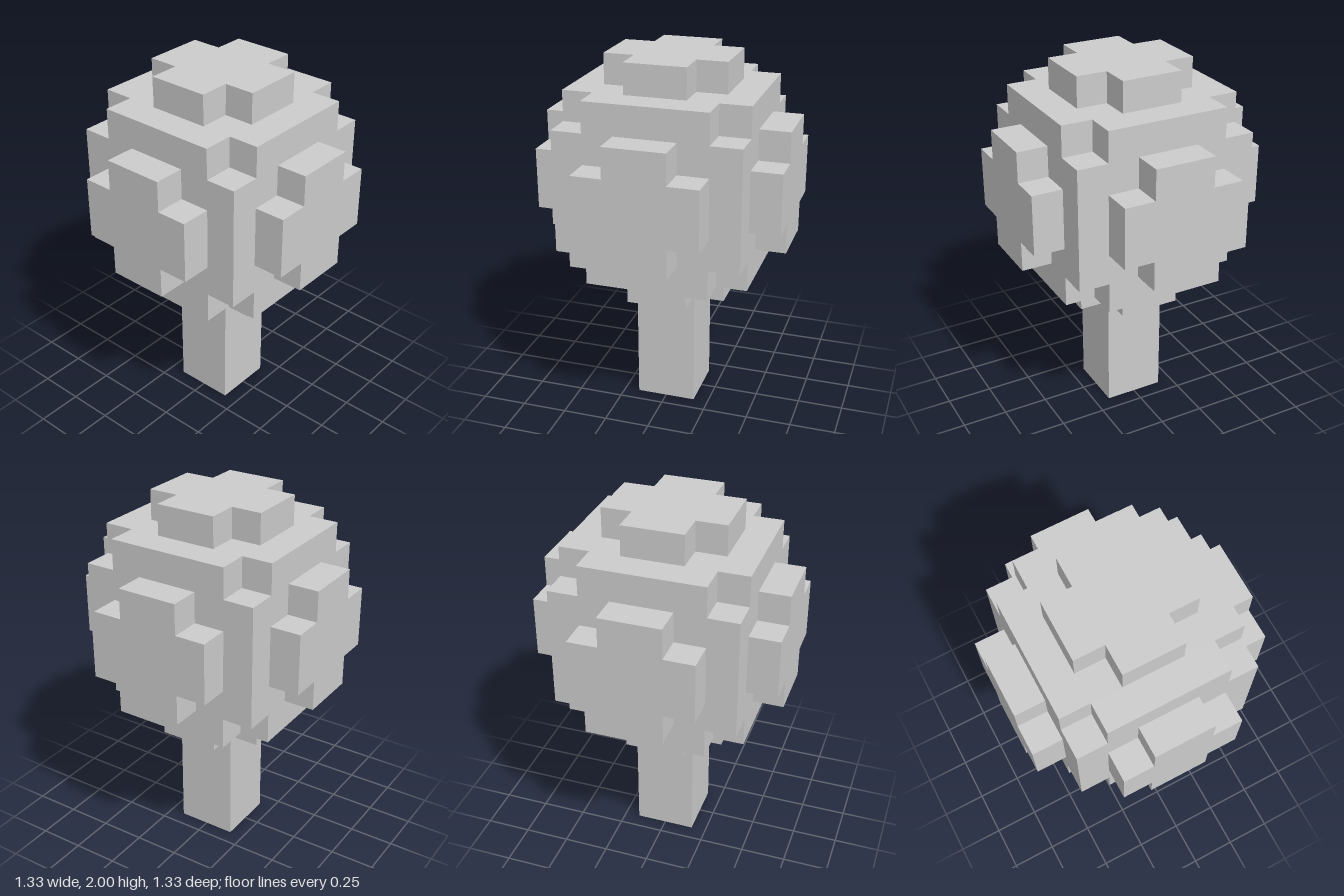
import * as THREE from 'three';

const U = 1 / 6;        // one block
const CROWN_Y = 8 * U;  // crown centre height

const material = new THREE.MeshStandardMaterial({ color: 0xcccccc, flatShading: true });

// Square slab with one block cut from each corner; half and start are in blocks.
function notchedSlab(half, start) {
  const a = half * U, b = (half - 1) * U;
  const outline = [
    [a, -b], [a, b], [b, b], [b, a], [-b, a], [-b, b],
    [-a, b], [-a, -b], [-b, -b], [-b, -a], [b, -a], [b, -b],
  ].map(([x, y]) => new THREE.Vector2(x, y));
  const geometry = new THREE.ExtrudeGeometry(new THREE.Shape(outline), { depth: U, bevelEnabled: false });
  return geometry.translate(0, 0, start * U);
}

function addMesh(parent, name, geometry) {
  const mesh = new THREE.Mesh(geometry, material);
  mesh.name = name;
  parent.add(mesh);
  return mesh;
}

export function createModel() {
  const model = new THREE.Group();
  model.name = 'blockTree';

  // Trunk
  addMesh(model, 'trunk', new THREE.BoxGeometry(2 * U, 4 * U, 2 * U)).position.y = 2 * U;

  const crown = new THREE.Group();
  crown.name = 'crown';
  crown.position.y = CROWN_Y;
  model.add(crown);

  // Crown body: full middle, layers above and below without corner blocks
  addMesh(crown, 'crownMiddle', new THREE.BoxGeometry(6 * U, 4 * U, 6 * U));
  const quarter = Math.PI / 2;
  addMesh(crown, 'crownUpperLayer', notchedSlab(3, 2).rotateX(-quarter));
  addMesh(crown, 'crownLowerLayer', notchedSlab(3, 2).rotateX(quarter));

  // Raised leaf pads on all six sides
  const pads = {
    front: [0, 0], left: [0, quarter], back: [0, 2 * quarter], right: [0, -quarter],
    top: [-quarter, 0], bottom: [quarter, 0],
  };
  for (const [side, [rx, ry]] of Object.entries(pads)) {
    addMesh(crown, `${side}LeafPad`, notchedSlab(2, 3).rotateX(rx).rotateY(ry));
  }

  return model;
}
